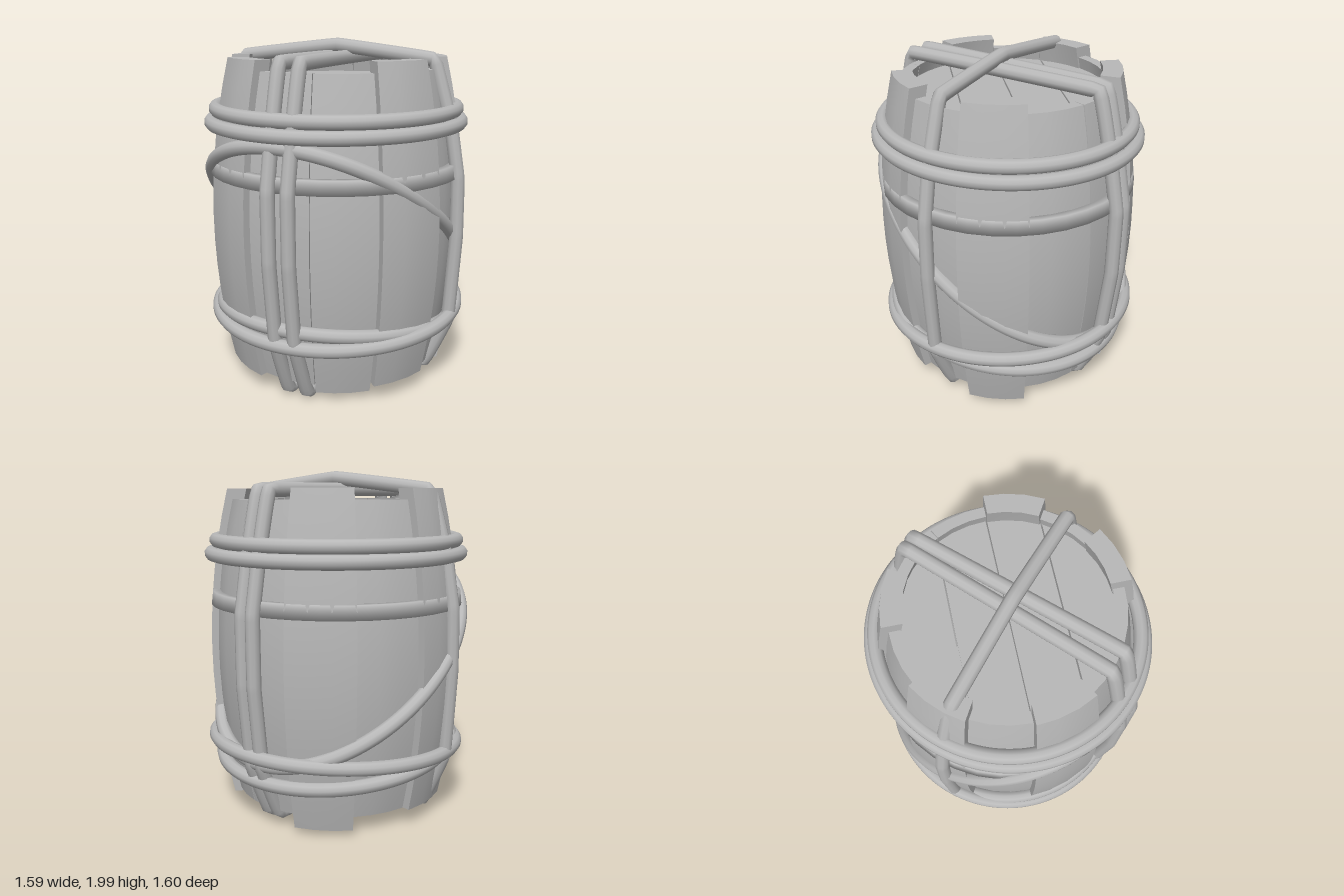
import * as THREE from 'three';

const grey = new THREE.MeshStandardMaterial({ color: 0xb8b8b8 });
grey.name = 'plain grey';

const V = (x, y, z) => new THREE.Vector3(x, y, z);

function add(group, name, geometry) {
  const mesh = new THREE.Mesh(geometry, grey);
  mesh.name = name;
  group.add(mesh);
  return mesh;
}

// Barrel wall radius at height y, widest at the belly
function bulge(y, end, belly) {
  const t = (y - 0.97) / 0.93;
  return belly - (belly - end) * t * t;
}

// A curved stave: a box bent around the barrel and swelled at the belly
function staveGeometry(degrees, bottom, top, end, belly, thick) {
  const geo = new THREE.BoxGeometry(1, 1, 1, 3, 12, 1);
  const p = geo.attributes.position;
  const width = THREE.MathUtils.degToRad(29.6);
  const mid = THREE.MathUtils.degToRad(degrees + 90);
  for (let i = 0; i < p.count; i++) {
    const a = mid + p.getX(i) * width;
    const y = bottom + (p.getY(i) + 0.5) * (top - bottom);
    const r = bulge(y, end, belly) - (0.5 - p.getZ(i)) * thick;
    p.setXYZ(i, r * Math.sin(a), y, r * Math.cos(a));
  }
  geo.computeVertexNormals();
  return geo;
}

// Rope through a closed list of points, with tight bends
function ropeLoop(points, tension) {
  const curve = new THREE.CatmullRomCurve3(points, true, 'catmullrom', tension);
  return new THREE.TubeGeometry(curve, 160, 0.04, 10, true);
}

// Rope ring that tilts: height y0 at the middle, rising by slope towards +z
function ropeRing(y0, slope, rx, rz, cx = 0, cz = 0) {
  const pts = [];
  for (let i = 0; i < 32; i++) {
    const a = (i / 32) * Math.PI * 2;
    const z = cz + rz * Math.cos(a);
    pts.push(V(cx + rx * Math.sin(a), y0 + slope * z, z));
  }
  return ropeLoop(pts, 0.5);
}

// Round lid cut into parallel planks
function lid(name, y) {
  const group = new THREE.Group();
  group.name = name;
  const R = 0.57, n = 4, w = (2 * R) / n, gap = 0.004;
  for (let k = 0; k < n; k++) {
    const s = new THREE.Shape();
    const lo = -R + k * w + gap, hi = lo + w - 2 * gap;
    const edge = [];
    for (let i = 0; i <= 8; i++) {
      const v = lo + ((hi - lo) * i) / 8;
      edge.push([Math.sqrt(Math.max(0, R * R - v * v)), v]);
    }
    s.moveTo(-edge[0][0], edge[0][1]);
    edge.forEach(([u, v]) => s.lineTo(u, v));
    edge.reverse().forEach(([u, v]) => s.lineTo(-u, v));
    const geo = new THREE.ExtrudeGeometry(s, { depth: 0.06, bevelEnabled: false });
    geo.rotateX(-Math.PI / 2);
    add(group, 'lidPlank', geo);
  }
  group.rotation.y = Math.PI / 4;
  group.position.y = y;
  return group;
}

export function createModel() {
  const model = new THREE.Group();
  model.name = 'ropedBarrel';

  // Twelve staves, five of them thicker and taller
  const staves = new THREE.Group();
  staves.name = 'staves';
  const raised = [30, 120, 180, 240, 330];
  const lowEnds = { 30: 0.05, 120: 0.05, 300: 0.06 };
  for (let d = 0; d < 360; d += 30) {
    const tall = raised.includes(d);
    const bottom = lowEnds[d] ?? 0.115;
    add(staves, tall ? 'raisedStave' : 'stave', tall
      ? staveGeometry(d, bottom, 1.9, 0.635, 0.75, 0.11)
      : staveGeometry(d, bottom, 1.84, 0.59, 0.71, 0.06));
  }
  model.add(staves);

  // Lids set just inside both rims
  model.add(lid('topLid', 1.71), lid('bottomLid', 0.17));

  // Flat hoop round the upper belly
  const hoop = [[0.67, 1.24], [0.745, 1.24], [0.735, 1.32], [0.67, 1.32], [0.67, 1.24]];
  const hoopGeo = new THREE.LatheGeometry(hoop.map(([r, y]) => new THREE.Vector2(r, y)), 36);
  add(model, 'hoop', hoopGeo);

  // Rope rings
  const ropes = new THREE.Group();
  ropes.name = 'ropes';
  add(ropes, 'upperRopeRing', ropeRing(1.61, 0, 0.7, 0.71));
  add(ropes, 'upperRopeRing', ropeRing(1.535, 0, 0.725, 0.745));
  add(ropes, 'lowerRopeRing', ropeRing(0.42, -0.055, 0.735, 0.735, 0, -0.01));
  add(ropes, 'lowerRopeRing', ropeRing(0.385, 0.115, 0.7, 0.7));
  add(ropes, 'slantedRope', ropeRing(0.94, 0.74, 0.725, 0.715, -0.015, 0.005));

  // Two ropes tied lengthwise from front to back
  const half = [[0.61, 1.89], [0.705, 1.53], [0.76, 1.24], [0.76, 0.85], [0.71, 0.39], [0.57, 0.05]];
  for (const [front, back] of [[-0.02, -0.02], [0.1, 0.055]]) {
    const pts = [
      ...half.map(([z, y]) => V(front, y, z)),
      ...half.slice().reverse().map(([z, y]) => V(back, y < 0.1 ? 0.085 : y, -z)),
    ];
    add(ropes, 'lengthwiseRope', ropeLoop(pts, 0.04));
  }

  // One rope tied from side to side, riding over the other two
  const side = [[0.59, 1.89], [0.7, 1.53], [0.75, 1.24], [0.755, 0.9], [0.725, 0.4], [0.58, 0.09]];
  add(ropes, 'crosswiseRope', ropeLoop([
    V(0.02, 1.96, 0.02),
    ...side.map(([x, y]) => V(x, y, -0.015)),
    ...side.slice().reverse().map(([x, y]) => V(-x, y, 0.06)),
  ], 0.04));
  model.add(ropes);

  return model;
}
